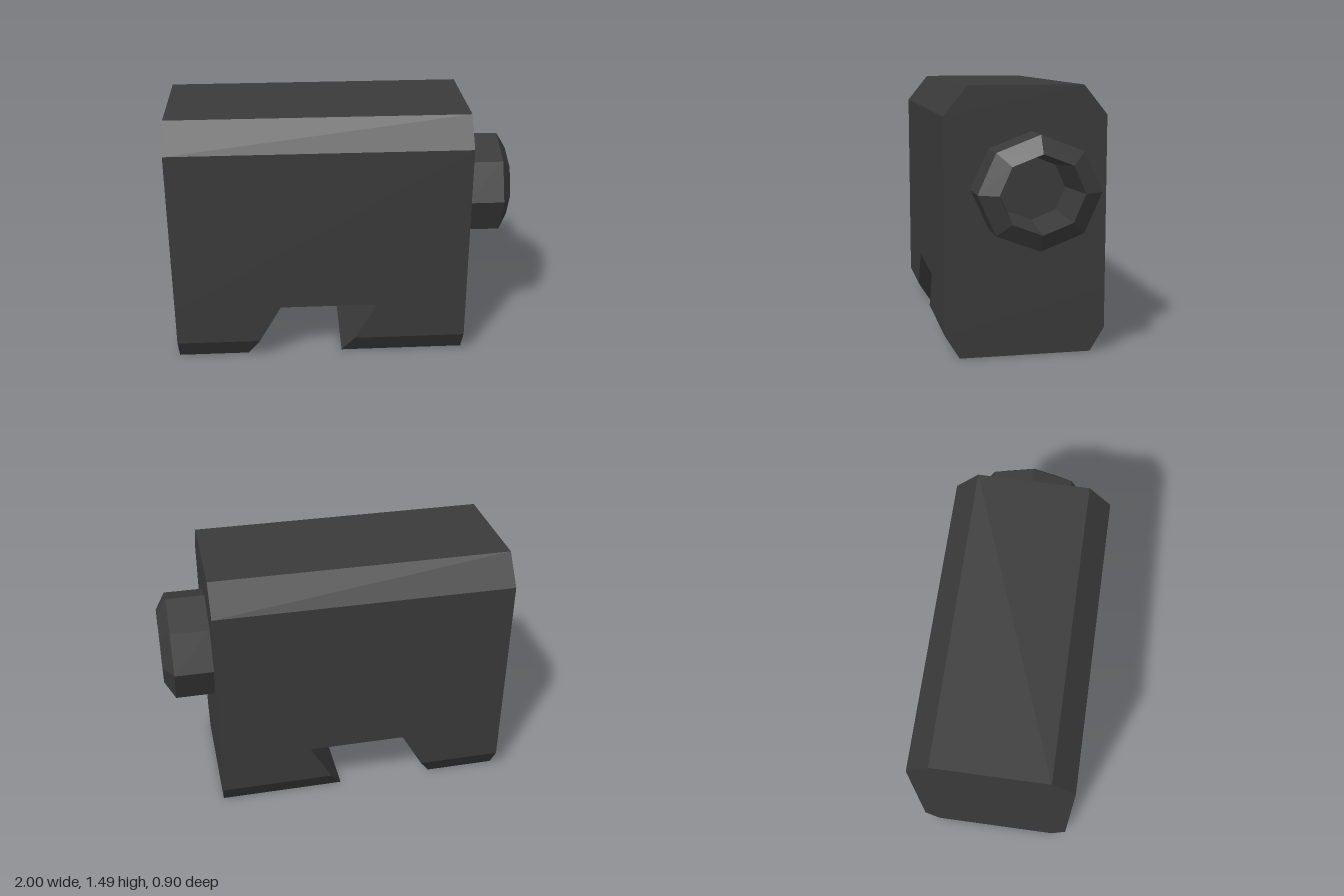
import * as THREE from 'three';

// Stack of rectangular rings [y, halfDepth, xLeft, xRight], bottom to top, flat shaded
function loft(rings, capBottom, capTop) {
  const corners = rings.map(([y, d, x0, x1]) => [[x0, y, d], [x1, y, d], [x1, y, -d], [x0, y, -d]]);
  const pos = [];
  const quad = (a, b, c, d) => pos.push(...a, ...b, ...c, ...a, ...c, ...d);
  for (let k = 0; k + 1 < corners.length; k++) {
    const lo = corners[k], hi = corners[k + 1];
    for (let i = 0; i < 4; i++) {
      const j = (i + 1) % 4;
      quad(lo[i], lo[j], hi[j], hi[i]);
    }
  }
  const b = corners[0], t = corners[corners.length - 1];
  if (capBottom) quad(b[3], b[2], b[1], b[0]);
  if (capTop) quad(...t);
  const g = new THREE.BufferGeometry();
  g.setAttribute('position', new THREE.Float32BufferAttribute(pos, 3));
  g.computeVertexNormals();
  return g;
}

export function createModel() {
  const group = new THREE.Group();
  const darkGrey = new THREE.MeshStandardMaterial({ color: 0x3a3a3a });
  darkGrey.name = 'darkGrey';
  const add = (name, geometry) => {
    const mesh = new THREE.Mesh(geometry, darkGrey);
    mesh.name = name;
    group.add(mesh);
    return mesh;
  };

  const left = -1, right = 0.72, notchY = 0.36;
  // Slanted notch walls, parallel to each other
  const wallA = y => -0.585 + 0.57 * y;
  const wallB = y => -0.015 + 0.57 * y;
  const footLevels = [[0, 0.37], [0.133, 0.452], [notchY, 0.452]];

  // Block with bevelled top edges
  add('upperBody', loft([
    [notchY, 0.452, left, right], [1.33, 0.452, left, right], [1.493, 0.32, left, right],
  ], false, true));

  // Feet on both sides of the notch, with bevelled bottom edges
  add('leftFoot', loft(footLevels.map(([y, d]) => [y, d, left, wallA(y)]), true, false));
  add('rightFoot', loft(footLevels.map(([y, d]) => [y, d, wallB(y), right]), true, false));
  add('notchCeiling', loft([[notchY, 0.452, wallA(notchY), wallB(notchY)]], true, false));

  // Eight-sided hollow knob on the end face
  const profile = [[0.308, 0], [0.308, 0.222], [0.212, 0.28], [0.175, 0]]
    .map(([r, h]) => new THREE.Vector2(r, h));
  const knob = new THREE.LatheGeometry(profile, 8).toNonIndexed();
  knob.scale(1, 1, 0.335 / 0.308);
  knob.rotateZ(-Math.PI / 2);
  knob.computeVertexNormals();
  add('knob', knob).position.set(right, 0.938, -0.028);

  return group;
}
